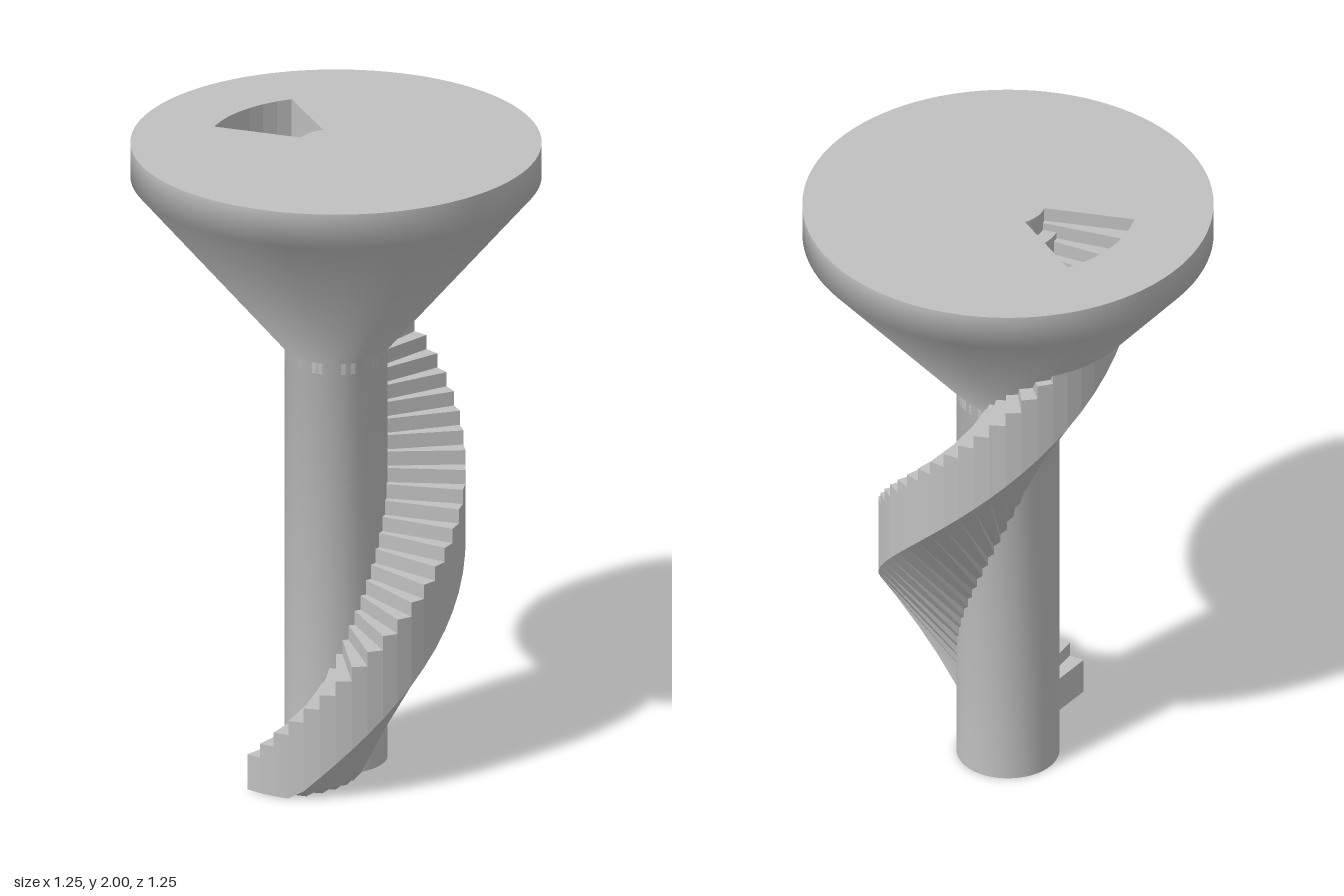
import * as THREE from 'three';

const STEPS = 41, RISE = 0.046, FIRST_TOP = 0.115;
const START = THREE.MathUtils.degToRad(-66), TURN = THREE.MathUtils.degToRad(7.15);
const R_CORE = 0.157, R_IN = 0.113, R_OUT = 0.395, R_RIM = 0.627, HEIGHT = 2;
const HATCH_FIRST = 34; // first step lying under the roof opening

// point at radius r, height y, angle a (from +z towards +x)
const at = (r, y, a) => [r * Math.sin(a), y, r * Math.cos(a)];

function quadMesh(quads, material, name) {
  const pos = [];
  for (const [a, b, c, d] of quads) pos.push(...a, ...b, ...c, ...a, ...c, ...d);
  const g = new THREE.BufferGeometry();
  g.setAttribute('position', new THREE.Float32BufferAttribute(pos, 3));
  g.computeVertexNormals();
  const m = new THREE.Mesh(g, material);
  m.name = name;
  return m;
}

// one wedge step: flat tread, soffit falling steeply towards the column
function stepQuads(i) {
  const a = START + i * TURN, b = a + TURN, top = FIRST_TOP + i * RISE;
  const soffit = (r, end) => {
    const mid = top - 0.27 + RISE / 2 - 0.3 * (R_OUT - r) / (R_OUT - R_CORE);
    return Math.max(0, mid + (end ? 0.5 : -0.5) * RISE * r / R_OUT);
  };
  const quads = [
    [at(R_OUT, soffit(R_OUT, 0), a), at(R_OUT, soffit(R_OUT, 1), b), at(R_OUT, top, b), at(R_OUT, top, a)],
  ];
  const n = 8;
  for (let k = 0; k < n; k++) {
    const r0 = R_IN + (R_OUT - R_IN) * k / n, r1 = R_IN + (R_OUT - R_IN) * (k + 1) / n;
    const a0 = at(r0, soffit(r0, 0), a), a1 = at(r1, soffit(r1, 0), a);
    const b0 = at(r0, soffit(r0, 1), b), b1 = at(r1, soffit(r1, 1), b);
    const ta0 = at(r0, top, a), ta1 = at(r1, top, a), tb0 = at(r0, top, b), tb1 = at(r1, top, b);
    quads.push([ta0, ta1, tb1, tb0], [a0, b0, b1, a1], [a0, a1, ta1, ta0], [b1, b0, tb0, tb1]);
  }
  return quads;
}

export function createModel() {
  const model = new THREE.Group();
  const grey = new THREE.MeshStandardMaterial({ color: 0xc0c0c0 });
  grey.name = 'lightGrey';
  const greyOpen = new THREE.MeshStandardMaterial({ color: 0xc0c0c0, side: THREE.DoubleSide });
  greyOpen.name = 'lightGreyTwoSided';

  const add = (geometry, name) => {
    const m = new THREE.Mesh(geometry, grey);
    m.name = name;
    model.add(m);
    return m;
  };

  // column flaring into the funnel-shaped head
  const profile = [[R_CORE, 0], [R_CORE, 1.335], [R_RIM, 1.89], [R_RIM, HEIGHT]];
  add(new THREE.LatheGeometry(profile.map(([x, y]) => new THREE.Vector2(x, y)), 96), 'columnAndFunnel');
  add(new THREE.CircleGeometry(R_CORE, 96).rotateX(Math.PI / 2), 'columnBase');

  // column core seen inside the roof opening
  const coreTop = 1.93;
  add(new THREE.CylinderGeometry(R_CORE, R_CORE, coreTop - 1.3, 96), 'columnCore').position.y = (coreTop + 1.3) / 2;

  // flat roof with a fan-shaped opening over the last steps
  const angles = [];
  for (let i = HATCH_FIRST; i <= STEPS; i++) angles.push(START + i * TURN);
  const flat = (r, a) => new THREE.Vector2(r * Math.sin(a), -r * Math.cos(a));
  const roof = new THREE.Shape().absarc(0, 0, R_RIM, 0, Math.PI * 2);
  roof.holes.push(new THREE.Path([
    ...angles.map(a => flat(R_OUT, a)),
    ...angles.slice().reverse().map(a => flat(R_IN, a)),
  ]));
  add(new THREE.ShapeGeometry(roof, 48).rotateX(-Math.PI / 2), 'roof').position.y = HEIGHT;

  // walls of the opening
  const walls = [], low = 1.65;
  for (let k = 0; k < angles.length - 1; k++) {
    for (const r of [R_IN, R_OUT]) {
      walls.push([at(r, low, angles[k]), at(r, low, angles[k + 1]), at(r, HEIGHT, angles[k + 1]), at(r, HEIGHT, angles[k])]);
    }
  }
  for (const a of [angles[0], angles[angles.length - 1]]) {
    walls.push([at(R_IN, low, a), at(R_OUT, low, a), at(R_OUT, HEIGHT, a), at(R_IN, HEIGHT, a)]);
  }
  model.add(quadMesh(walls, greyOpen, 'openingWalls'));

  // spiral staircase
  const stairs = new THREE.Group();
  stairs.name = 'spiralStairs';
  for (let i = 0; i < STEPS; i++) stairs.add(quadMesh(stepQuads(i), grey, 'step'));
  model.add(stairs);

  return model;
}
